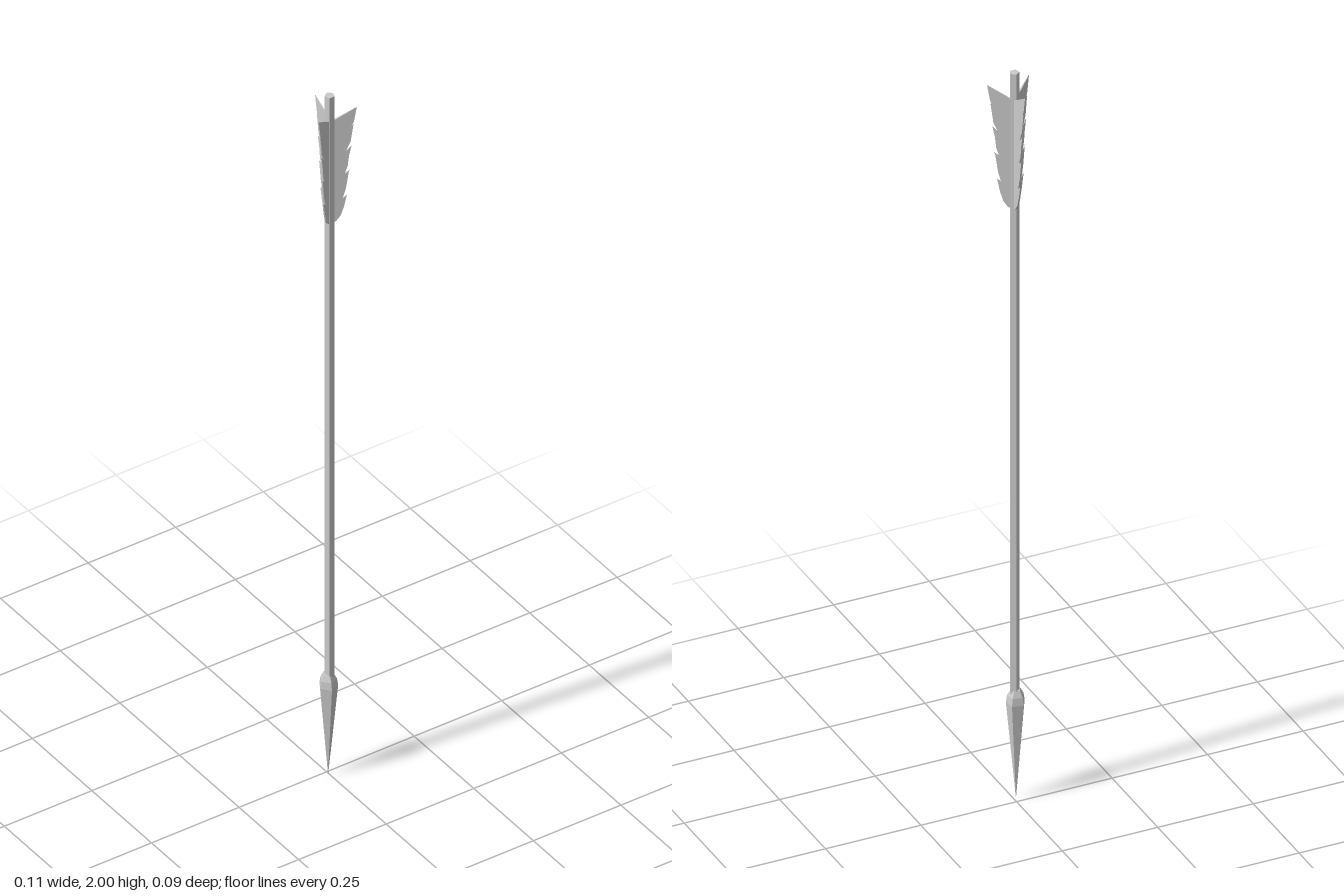
import * as THREE from 'three';

const SIDES = 5;
const AXIS_Z = 0.0155;

export function createModel() {
  const arrow = new THREE.Group();
  arrow.name = 'arrow';
  const material = new THREE.MeshStandardMaterial({ color: 0xcccccc, flatShading: true });

  const add = (name, geometry, x, z) => {
    const mesh = new THREE.Mesh(geometry, material);
    mesh.name = name;
    mesh.position.set(x, 0, z);
    arrow.add(mesh);
    return mesh;
  };

  // Five-sided solid from [radius, height] pairs, listed upwards
  const turned = (profile, start) => new THREE.LatheGeometry(
    profile.map(([r, y]) => new THREE.Vector2(r, y)),
    SIDES, THREE.MathUtils.degToRad(start));

  // Shaft, closed at the nock end
  add('shaft', turned([[0.0125, 0.27], [0.0125, 2], [0, 2]], 180), -0.002, AXIS_Z);

  // Long pointed head with a short shoulder
  add('arrowhead', turned([[0, 0], [0.024, 0.265], [0.021, 0.285], [0.012, 0.302], [0, 0.302]], 60), -0.005, 0.0135);

  // Feather outline: radial distance and height, with a ragged outer edge
  const outline = [
    [0, 1.625], [0.013, 1.63], [0.024, 1.645], [0.032, 1.67], [0.039, 1.705],
    [0.029, 1.695], [0.037, 1.725], [0.044, 1.775], [0.047, 1.778],
    [0.034, 1.768], [0.041, 1.79], [0.047, 1.845], [0.05, 1.848],
    [0.036, 1.832], [0.048, 1.86], [0.055, 1.912], [0.05, 1.905],
    [0.056, 1.92], [0.063, 1.962], [0.013, 1.93], [0, 1.925],
  ];
  const thickness = 0.007;
  const feather = new THREE.ExtrudeGeometry(
    new THREE.Shape(outline.map(([x, y]) => new THREE.Vector2(x, y))),
    { depth: thickness, bevelEnabled: false });
  feather.translate(0, 0, -thickness / 2);

  // Thin the feather towards its outer edge
  const p = feather.attributes.position;
  for (let i = 0; i < p.count; i++) {
    p.setZ(i, p.getZ(i) * (1 - 0.85 * p.getX(i) / 0.063));
  }
  feather.computeVertexNormals();

  // Three feathers evenly spaced round the shaft, one pointing back
  for (let i = 0; i < 3; i++) {
    add(`feather${i + 1}`, feather, 0, AXIS_Z).rotation.y = Math.PI / 2 + i * Math.PI * 2 / 3;
  }

  return arrow;
}
